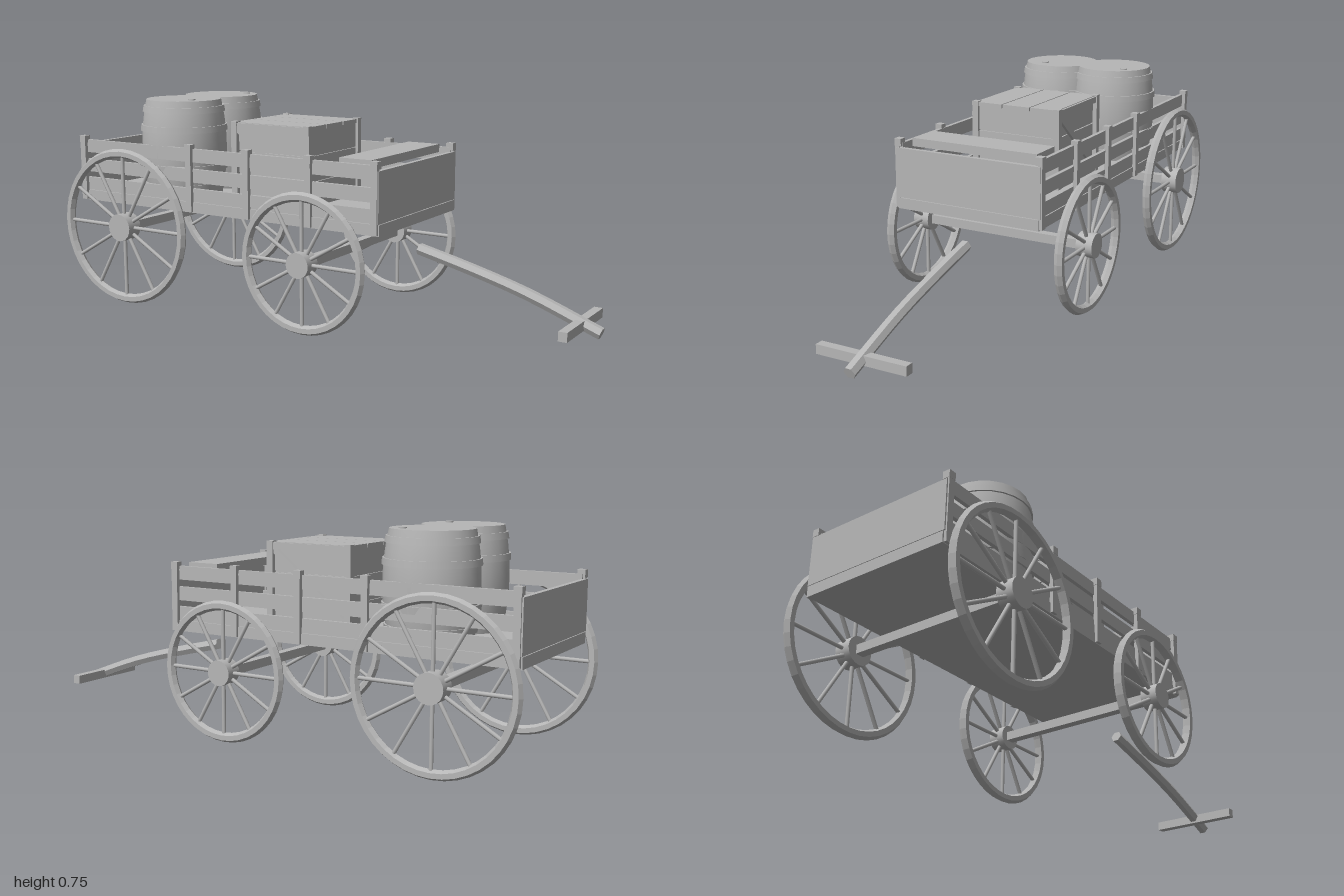
import * as THREE from 'three';

const wood = new THREE.MeshStandardMaterial({ color: 0xb6b6b6 });
wood.name = 'plain grey';

function add(parent, name, geometry, x = 0, y = 0, z = 0) {
  const mesh = new THREE.Mesh(geometry, wood);
  mesh.name = name;
  mesh.position.set(x, y, z);
  parent.add(mesh);
  return mesh;
}

// Box given by its min and max corners
function box(parent, name, x0, x1, y0, y1, z0, z1) {
  return add(parent, name, new THREE.BoxGeometry(x1 - x0, y1 - y0, z1 - z0),
    (x0 + x1) / 2, (y0 + y1) / 2, (z0 + z1) / 2);
}

function flat(geometry) {
  const g = geometry.toNonIndexed();
  g.computeVertexNormals();
  return g;
}

// Spoked wheel facing z, with a six-sided rim
function makeWheel(name, radius, hubRadius) {
  const wheel = new THREE.Group();
  wheel.name = name;
  const tube = 0.017;
  add(wheel, 'rim', flat(new THREE.TorusGeometry(radius - tube, tube, 6, 40)));
  add(wheel, 'hub', new THREE.CylinderGeometry(hubRadius, hubRadius, 0.06, 20).rotateX(Math.PI / 2));
  const length = radius - 2 * tube - hubRadius + 0.02;
  for (let i = 0; i < 12; i++) {
    const spoke = new THREE.CylinderGeometry(0.007, 0.007, length, 8, 1, true);
    spoke.translate(0, hubRadius - 0.01 + length / 2, 0).rotateZ(i * Math.PI / 6);
    add(wheel, 'spoke', spoke);
  }
  return wheel;
}

// Bulging barrel with four hoops, a lid and a bung
function makeBarrel(bungX, bungZ) {
  const barrel = new THREE.Group();
  barrel.name = 'barrel';
  const height = 0.35;
  const radiusAt = (y) => 0.157 - 0.019 * ((y - height / 2) / (height / 2)) ** 2;
  const profile = [];
  for (let i = 0; i <= 10; i++) profile.push(new THREE.Vector2(radiusAt(i * height / 10), i * height / 10));
  add(barrel, 'staves', new THREE.LatheGeometry(profile, 24));
  add(barrel, 'lid', new THREE.CircleGeometry(radiusAt(height), 24).rotateX(-Math.PI / 2).rotateY(Math.PI / 2), 0, height, 0);
  add(barrel, 'base', new THREE.CircleGeometry(radiusAt(0), 24).rotateX(Math.PI / 2).rotateY(Math.PI / 2));
  for (const y of [0.034, 0.104, 0.246, 0.316]) {
    const bottom = radiusAt(y - 0.011) + 0.006;
    const top = radiusAt(y + 0.011) + 0.006;
    add(barrel, 'hoop', new THREE.CylinderGeometry(top, bottom, 0.022, 24), 0, y, 0);
  }
  add(barrel, 'bung', new THREE.CylinderGeometry(0.014, 0.014, 0.008, 10), bungX, height, bungZ);
  return barrel;
}

// Planked crate with framed sides and diagonal braces
function makeCrate() {
  const crate = new THREE.Group();
  crate.name = 'crate';
  const x0 = -0.33, x1 = 0, y0 = 0.4, y1 = 0.683;
  box(crate, 'crateCore', x0 + 0.014, x1 - 0.014, y0, y1 - 0.012, -0.152, 0.152);
  for (let i = 0; i < 3; i++) {
    const z = -0.165 + i * 0.11;
    box(crate, 'lidPlank', x0 + 0.004, x1 - 0.004, y1 - 0.014, y1, z + 0.002, z + 0.108);
    const y = y0 + i * 0.0905;
    box(crate, 'wallPlank', x0 + 0.008, x1 - 0.008, y + 0.002, y + 0.0885, -0.158, 0.158);
  }
  for (const side of [-1, 1]) {
    const z = side * 0.162;
    for (const x of [x0 + 0.011, x1 - 0.011]) {
      add(crate, 'cornerPost', new THREE.BoxGeometry(0.024, 0.286, 0.024), x, 0.543, z);
    }
    for (const y of [y0 + 0.011, y1 - 0.013]) {
      add(crate, 'frameRail', new THREE.BoxGeometry(0.31, 0.022, 0.018), -0.165, y, z);
    }
    const brace = add(crate, 'diagonalBrace', new THREE.BoxGeometry(0.395, 0.022, 0.014), -0.165, 0.541, z);
    brace.rotation.z = -side * Math.atan2(0.25, 0.3);
  }
  return crate;
}

export function createModel() {
  const wagon = new THREE.Group();
  wagon.name = 'wagon';

  // Bed
  const bed = new THREE.Group();
  bed.name = 'bed';
  wagon.add(bed);
  box(bed, 'floor', -0.97, 0.335, 0.36, 0.398, -0.272, 0.272);
  box(bed, 'frontBoard', 0.318, 0.335, 0.4, 0.574, -0.277, 0.277);
  box(bed, 'tailBoard', -0.97, -0.953, 0.4, 0.574, -0.277, 0.277);
  box(bed, 'seat', 0.163, 0.288, 0.573, 0.602, -0.24, 0.24);
  for (const side of [-1, 1]) {
    for (const y of [0.423, 0.493, 0.566]) {
      add(bed, 'sideRail', new THREE.BoxGeometry(1.28, 0.048, 0.014), -0.317, y, side * 0.262);
    }
    for (const x of [-0.953, -0.444, -0.192, 0.064, 0.32]) {
      add(bed, 'sidePost', new THREE.BoxGeometry(0.024, 0.24, 0.016), x, 0.483, side * 0.274);
      add(bed, 'postCap', new THREE.BoxGeometry(0.027, 0.026, 0.026), x, 0.592, side * 0.27);
    }
  }

  // Axles and wheels
  for (const [end, x, y, radius, hub] of [['rear', -0.711, 0.289, 0.288, 0.05], ['front', 0.073, 0.248, 0.244, 0.044]]) {
    add(wagon, end + 'Axle', new THREE.BoxGeometry(0.032, 0.032, 0.62), x, y, 0);
    for (const side of [-1, 1]) {
      const wheel = makeWheel(end + 'Wheel', radius, hub);
      wheel.position.set(x, y, side * 0.329);
      wagon.add(wheel);
    }
  }

  // Tongue and its handle
  const path = new THREE.CatmullRomCurve3([
    new THREE.Vector3(0.34, 0.27, 0), new THREE.Vector3(0.54, 0.222, 0),
    new THREE.Vector3(0.74, 0.166, 0), new THREE.Vector3(0.993, 0.073, 0),
  ]);
  const hexagon = new THREE.Shape();
  for (let i = 0; i < 6; i++) {
    const a = i * Math.PI / 3;
    hexagon[i ? 'lineTo' : 'moveTo'](0.021 * Math.cos(a), 0.021 * Math.sin(a));
  }
  add(wagon, 'tongue', new THREE.ExtrudeGeometry(hexagon, { steps: 10, bevelEnabled: false, extrudePath: path }));
  add(wagon, 'handle', new THREE.BoxGeometry(0.03, 0.032, 0.328), 0.925, 0.094, 0);

  // Cargo
  const cargo = [[0.113, 0.07, 0.04], [-0.113, 0.07, -0.07]];
  for (const [z, bungX, bungZ] of cargo) {
    const barrel = makeBarrel(bungX, bungZ);
    barrel.position.set(-0.595, 0.4, z);
    wagon.add(barrel);
  }
  wagon.add(makeCrate());
  return wagon;
}
